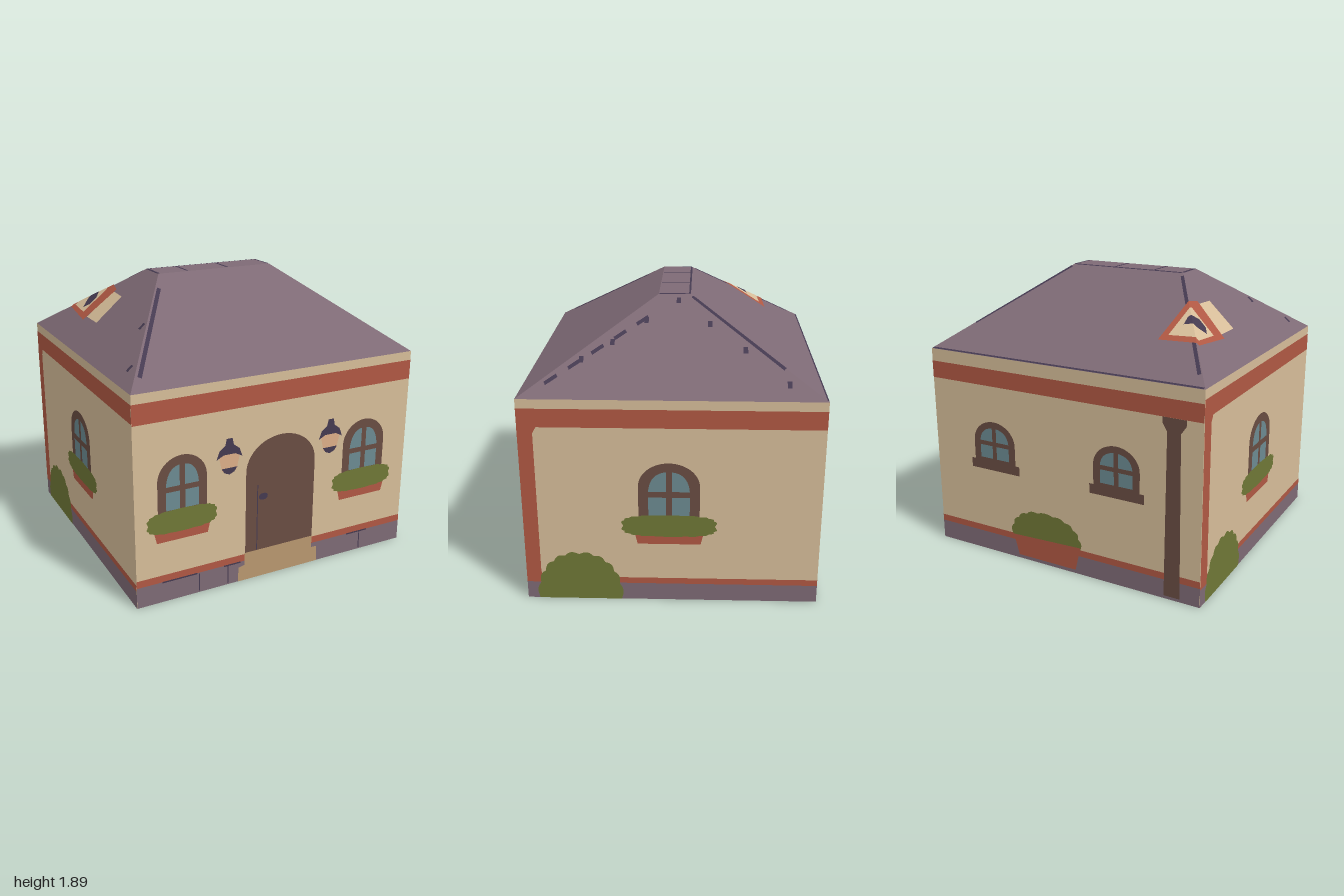
import * as THREE from 'three';

const mat = (name, color) => Object.assign(new THREE.MeshStandardMaterial({ color }), { name });
const M = {
  wall: mat('cream plaster', 0xd6bd99), red: mat('terracotta', 0xb05843),
  stone: mat('purple slate', 0x7e6a75), wood: mat('brown wood', 0x694d42),
  green: mat('leaf green', 0x6f7736), glass: mat('blue glass', 0x6c8a91),
  dark: mat('dark ink', 0x453a50), step: mat('sandstone', 0xb9976f),
  glow: mat('lamp glow', 0xdcae88),
};
const L = 0.0012; // height of one painted layer

// flat painted shape on a wall
function paint(g, name, shape, m, layer = 1) {
  const mesh = new THREE.Mesh(new THREE.ShapeGeometry(shape, 12), m);
  mesh.name = name;
  mesh.position.z = layer * L;
  g.add(mesh);
}
const poly = (...p) => new THREE.Shape(p.map(([x, y]) => new THREE.Vector2(x, y)));
const rect = (x0, x1, y0, y1) => poly([x0, y0], [x1, y0], [x1, y1], [x0, y1]);

function arch(x0, x1, y0, spring, top) {
  const s = new THREE.Shape();
  s.moveTo(x0, y0);
  s.lineTo(x1, y0);
  s.lineTo(x1, spring);
  s.absellipse((x0 + x1) / 2, spring, (x1 - x0) / 2, top - spring, 0, Math.PI, false, 0);
  return s;
}

// leafy outline with small lobes; half = sits on its base line
function foliage(cx, cy, rx, ry, power, lobes, half) {
  const pts = [], n = 96, span = half ? Math.PI : Math.PI * 2;
  for (let i = 0; i < (half ? n + 1 : n); i++) {
    const a = (i / n) * span, c = Math.cos(a), s = Math.sin(a);
    const k = 0.95 + 0.05 * Math.abs(Math.sin(a * lobes / 2));
    pts.push([cx + Math.sign(c) * Math.abs(c) ** power * rx * k,
      cy + Math.sign(s) * Math.abs(s) ** power * ry * k]);
  }
  return poly(...pts);
}

// arched window with four panes
function windowUnit(g, cx, w, y0, spring, top, pw, gap, rows) {
  const [b, m0, m1, t] = rows;
  paint(g, 'windowFrame', arch(cx - w / 2, cx + w / 2, y0, spring, top), M.wood, 2);
  for (const s of [-1, 1]) {
    const xi = cx + s * gap, xo = cx + s * pw;
    paint(g, 'lowerPane', rect(Math.min(xi, xo), Math.max(xi, xo), b, m0), M.glass, 3);
    const p = new THREE.Shape();
    p.moveTo(xi, m1);
    p.lineTo(xo, m1);
    p.quadraticCurveTo(xo - s * 0.01, t - 0.01, xi, t);
    paint(g, 'upperPane', p, M.glass, 3);
  }
}

function flowerBox(g, cx, wBox, wLeaf) {
  const h = wBox / 2;
  paint(g, 'flowerBox', poly([cx - h + 0.02, 0.415], [cx + h - 0.02, 0.415], [cx + h, 0.5], [cx - h, 0.5]), M.red, 3);
  paint(g, 'flowerBoxLeaves', foliage(cx, 0.545, wLeaf / 2, 0.077, 0.6, 18), M.green, 4);
}

function bands(g, hw, base, stripe, top0, top1) {
  paint(g, 'stoneBase', rect(-hw, hw, 0, base), M.stone);
  paint(g, 'baseStripe', rect(-hw, hw, base, stripe), M.red);
  paint(g, 'eaveBand', rect(-hw, hw, top0, top1), M.red);
}

function lantern(g, cx) {
  const p = (...q) => poly(...q.map(([x, y]) => [cx + x, y]));
  paint(g, 'lanternGlass', p([-0.05, 0.8], [0.05, 0.8], [0.075, 0.91], [-0.075, 0.91]), M.glow, 2);
  paint(g, 'lanternCap', p([-0.09, 0.885], [-0.04, 0.91], [0.04, 0.91], [0.09, 0.885],
    [0.07, 0.94], [0.03, 0.97], [0.02, 1.015], [-0.02, 1.015], [-0.03, 0.97], [-0.07, 0.94]), M.dark, 3);
  paint(g, 'lanternFoot', p([-0.055, 0.82], [-0.035, 0.79], [0, 0.775], [0.035, 0.79], [0.055, 0.82]), M.dark, 3);
}

function frontWall(g) {
  bands(g, 1, 0.14, 0.188, 1.2, 1.33);
  for (const cx of [-0.685, 0.65]) {
    windowUnit(g, cx, 0.33, 0.5, 0.81, 0.97, 0.11, 0.018, [0.62, 0.74, 0.775, 0.91]);
    flowerBox(g, cx - 0.003, 0.385, 0.48);
  }
  lantern(g, -0.365);
  lantern(g, 0.38);
  paint(g, 'door', arch(-0.245, 0.265, 0.18, 0.76, 0.978), M.wood, 2);
  paint(g, 'doorSeam', rect(-0.164, -0.157, 0.2, 0.66), M.dark, 3);
  paint(g, 'doorKnob', foliage(-0.118, 0.573, 0.034, 0.024, 1, 4), M.dark, 3);
  paint(g, 'doorStep', poly([-0.295, 0], [0.31, 0], [0.305, 0.11], [0.265, 0.11], [0.265, 0.197],
    [-0.25, 0.197], [-0.25, 0.11], [-0.295, 0.1]), M.step, 3);
  for (const x of [-0.575, -0.37, 0.66])
    paint(g, 'stoneJoint', rect(x - 0.004, x + 0.004, 0.01, 0.135), M.dark, 2);
  for (const [a, b] of [[-0.83, -0.59], [-0.4, -0.28], [0.55, 0.72]])
    paint(g, 'stoneEdge', rect(a, b, 0.133, 0.143), M.dark, 2);
}

function sideWall(g) {
  bands(g, 0.94, 0.12, 0.162, 1.21, 1.33);
  paint(g, 'cornerStripe', poly([-0.94, 0.12], [-0.82, 0.12], [-0.845, 0.2], [-0.845, 1.17],
    [-0.82, 1.215], [-0.94, 1.215]), M.red, 2);
  windowUnit(g, -0.015, 0.385, 0.5, 0.82, 0.98, 0.13, 0.018, [0.61, 0.745, 0.785, 0.92]);
  flowerBox(g, -0.015, 0.44, 0.61);
  paint(g, 'bush', foliage(-0.593, 0, 0.282, 0.348, 0.9, 20, true), M.green, 3);
}

function backWall(g) {
  bands(g, 1, 0.13, 0.175, 1.19, 1.305);
  for (const cx of [-0.51, 0.42]) {
    windowUnit(g, cx, 0.33, 0.62, 0.8, 0.945, 0.115, 0.016, [0.685, 0.775, 0.805, 0.9]);
    paint(g, 'windowSill', rect(cx - 0.195, cx + 0.195, 0.6, 0.665), M.wood, 2);
  }
  paint(g, 'planterLeaves', foliage(-0.12, 0.17, 0.28, 0.205, 0.85, 18, true), M.green, 2);
  paint(g, 'planter', poly([-0.34, 0.025], [0.11, 0.025], [0.15, 0.19], [-0.38, 0.17]), M.red, 3);
  paint(g, 'cornerPost', poly([0.755, 0.02], [0.865, 0.02], [0.855, 1.1], [0.89, 1.15], [0.89, 1.19],
    [0.735, 1.19], [0.735, 1.15], [0.765, 1.1]), M.wood, 2);
}

// roof planes as heights over (x, z): flat ridge, front, back, right, left
const planes = [
  () => 1.89,
  (x, z) => 1.89 - (z - 0.1) * 0.5 / 0.84,
  (x, z) => 1.89 + (z + 0.1) * 0.5 / 0.84,
  (x) => 1.89 - (x - 0.39) * 0.5 / 0.61,
  (x) => 1.89 + (x + 0.45) * 0.5 / 0.55,
];

function clip(pts, f) {
  const out = [];
  pts.forEach((a, i) => {
    const b = pts[(i + 1) % pts.length], fa = f(...a), fb = f(...b);
    if (fa >= 0) out.push(a);
    if (fa * fb < 0) {
      const t = fa / (fa - fb);
      out.push([a[0] + (b[0] - a[0]) * t, a[1] + (b[1] - a[1]) * t]);
    }
  });
  return out;
}

// drape a convex plan outline over the roof, split at the hips
function drape(g, name, pts, m, layer) {
  const area = pts.reduce((s, [x, z], i) => {
    const [u, v] = pts[(i + 1) % pts.length];
    return s + x * v - u * z;
  }, 0);
  const outline = area > 0 ? [...pts].reverse() : pts;
  const pos = [];
  for (const h of planes) {
    let p = outline;
    for (const k of planes) if (k !== h) p = clip(p, (x, z) => k(x, z) - h(x, z));
    const v = p.map(([x, z]) => [x, h(x, z) + layer * L * 1.3, z]);
    for (let i = 1; i < v.length - 1; i++) pos.push(...v[0], ...v[i], ...v[i + 1]);
  }
  const geo = new THREE.BufferGeometry();
  geo.setAttribute('position', new THREE.Float32BufferAttribute(pos, 3));
  geo.computeVertexNormals();
  const mesh = new THREE.Mesh(geo, m);
  mesh.name = name;
  g.add(mesh);
}

function stroke(g, name, x0, z0, x1, z1, w) {
  const l = Math.hypot(x1 - x0, z1 - z0), dx = (z0 - z1) / l * w / 2, dz = (x1 - x0) / l * w / 2;
  drape(g, name, [[x0 + dx, z0 + dz], [x1 + dx, z1 + dz], [x1 - dx, z1 - dz], [x0 - dx, z0 - dz]], M.dark, 1);
}

function roof(g) {
  drape(g, 'hipRoof', [[-1, -0.94], [1, -0.94], [1, 0.94], [-1, 0.94]], M.stone, 0);
  // dark weathering along hips and ridge
  stroke(g, 'hipLine', -0.9, 0.84, -0.5, 0.22, 0.025);
  stroke(g, 'hipLine', -0.92, -0.85, -0.46, -0.13, 0.022);
  stroke(g, 'hipLine', 0.82, -0.69, 0.4, -0.12, 0.03);
  for (let i = 0; i < 5; i++) {
    const x = 0.53 + i * 0.085, z = 0.16 + i * 0.135;
    stroke(g, 'hipDash', x, z, x + 0.045, z + 0.07, 0.022);
  }
  for (const x of [-0.445, -0.235, 0.065, 0.385]) stroke(g, 'ridgeLine', x, -0.095, x, 0.095, 0.016);
  stroke(g, 'ridgeLine', -0.44, -0.1, 0.38, -0.1, 0.012);
  stroke(g, 'eaveLine', -0.99, -0.934, 0.99, -0.934, 0.012);
  for (const [x, z] of [[0.43, -0.03], [0.55, 0.17], [0.68, 0.375], [0.78, 0.56], [0.57, -0.23], [0.72, -0.45], [0.91, -0.71]]) {
    stroke(g, 'slateSpot', x - 0.018, z, x + 0.018, z, 0.028);
    if (x > 0.7) stroke(g, 'slateSpot', -x - 0.018, -z, -x + 0.018, -z, 0.028);
  }
  // painted chimney
  drape(g, 'chimneyBody', [[-0.82, -0.3], [-0.635, -0.26], [-0.64, -0.09], [-0.82, -0.105]], M.wall, 2);
  drape(g, 'chimneyRim', [[-0.82, -0.64], [-0.55, -0.65], [-0.62, -0.235], [-0.845, -0.31]], M.red, 3);
  drape(g, 'chimneyTop', [[-0.8, -0.6], [-0.6, -0.61], [-0.64, -0.365], [-0.81, -0.4]], M.wall, 4);
  drape(g, 'chimneyHole', [[-0.79, -0.46], [-0.74, -0.5], [-0.66, -0.52], [-0.66, -0.46], [-0.71, -0.4], [-0.76, -0.41]], M.dark, 5);
}

export function createModel() {
  const house = new THREE.Group();
  house.name = 'house';
  const body = new THREE.Mesh(new THREE.BoxGeometry(2, 1.39, 1.88),
    [M.wall, M.wall, M.wall, M.stone, M.wall, M.wall]);
  body.name = 'houseBody';
  body.position.y = 0.695;
  house.add(body);
  const walls = [['frontWall', frontWall, 0, 0.94], ['rightWall', sideWall, 1, 1],
    ['backWall', backWall, 2, 0.94], ['leftWall', sideWall, 3, 1]];
  for (const [name, build, turn, d] of walls) {
    const g = new THREE.Group(), a = turn * Math.PI / 2;
    g.name = name;
    g.rotation.y = a;
    g.position.set(Math.sin(a) * d, 0, Math.cos(a) * d);
    build(g);
    house.add(g);
  }
  const top = new THREE.Group();
  top.name = 'roof';
  roof(top);
  house.add(top);
  return house;
}
